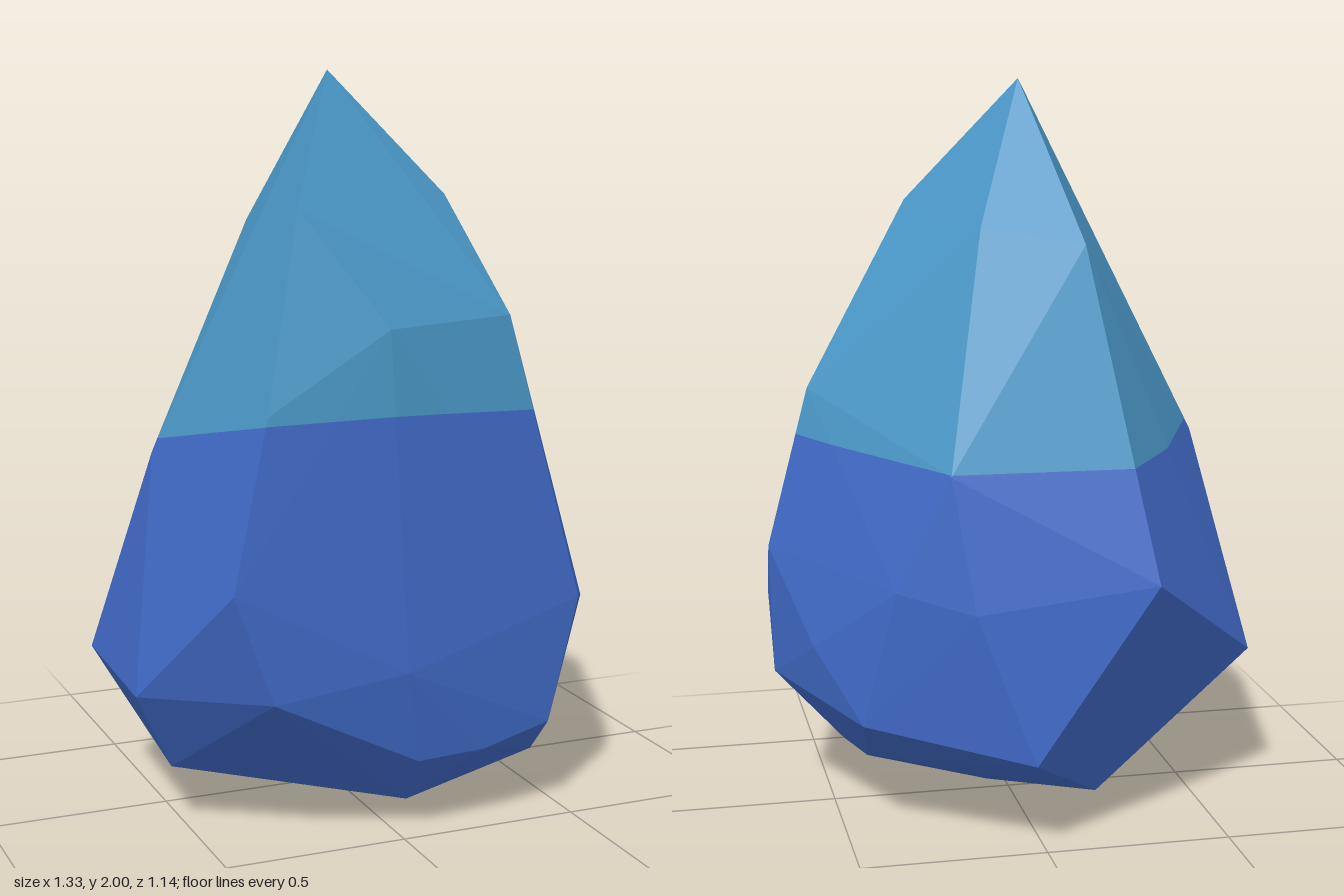
import * as THREE from 'three';
import { ConvexGeometry } from 'three/addons/geometries/ConvexGeometry.js';

// Facet corners of the stone, from the tip down to the base
const CORNERS = [
  [-0.04, 2, 0.06],
  // upper facets
  [-0.27, 1.67, 0.43], [0.26, 1.67, 0.16], [0.11, 1.62, -0.17], [-0.15, 1.58, -0.27],
  [0.34, 1.37, 0.4], [-0.06, 1.37, 0.53], [0.55, 1.17, 0.06], [-0.39, 1.17, 0.53],
  [0.24, 1.01, -0.43], [-0.545, 1.01, 0.07],
  // waist
  [-0.49, 0.73, 0.55], [0.665, 0.73, 0.06], [-0.28, 0.73, -0.57], [0.38, 0.7, -0.39],
  [0.19, 0.66, -0.505], [0.53, 0.6, 0.46], [0.65, 0.54, 0.26], [0.57, 0.5, -0.16],
  [-0.02, 0.48, 0.567], [-0.38, 0.43, 0.54], [-0.665, 0.41, 0.28], [-0.655, 0.42, -0.17],
  // lower facets
  [0.655, 0.37, 0.06], [0.46, 0.32, -0.32], [0.44, 0.26, 0.47], [0.04, 0.26, -0.555],
  [0.03, 0.22, 0.52], [0.23, 0.22, 0.5], [-0.54, 0.17, 0.18], [0.44, 0.15, 0.37],
  [0.42, 0.16, -0.1], [0.45, 0.12, 0.165], [-0.17, 0.1, -0.34], [0.05, 0.07, 0.4],
  [-0.3, 0.06, -0.05], [0.05, 0, 0.065],
];

// Height above the slightly dished colour line
const above = (p) => p.y - (1.035 + 0.12 * p.z + 0.17 * p.z * p.z);

// Keep the part of each triangle on one side of the colour line
function clip(source, sign) {
  const pos = source.getAttribute('position');
  const out = [];
  for (let i = 0; i < pos.count; i += 3) {
    const tri = [0, 1, 2].map((k) => new THREE.Vector3().fromBufferAttribute(pos, i + k));
    const poly = [];
    tri.forEach((a, k) => {
      const b = tri[(k + 1) % 3];
      const da = above(a) * sign, db = above(b) * sign;
      if (da >= 0) poly.push(a);
      if (da * db < 0) poly.push(a.clone().lerp(b, da / (da - db)));
    });
    for (let k = 1; k + 1 < poly.length; k++) out.push(poly[0], poly[k], poly[k + 1]);
  }
  const geometry = new THREE.BufferGeometry().setFromPoints(out);
  geometry.computeVertexNormals();
  return geometry;
}

export function createModel() {
  const group = new THREE.Group();
  group.name = 'facetedStone';
  const stone = new ConvexGeometry(CORNERS.map((c) => new THREE.Vector3(...c)));

  const part = (name, sign, materialName, color) => {
    const material = new THREE.MeshStandardMaterial({ color });
    material.name = materialName;
    const mesh = new THREE.Mesh(clip(stone, sign), material);
    mesh.name = name;
    group.add(mesh);
  };
  part('stoneTip', 1, 'tealBlue', 0x4a96c6);
  part('stoneBody', -1, 'royalBlue', 0x4069c6);
  return group;
}
